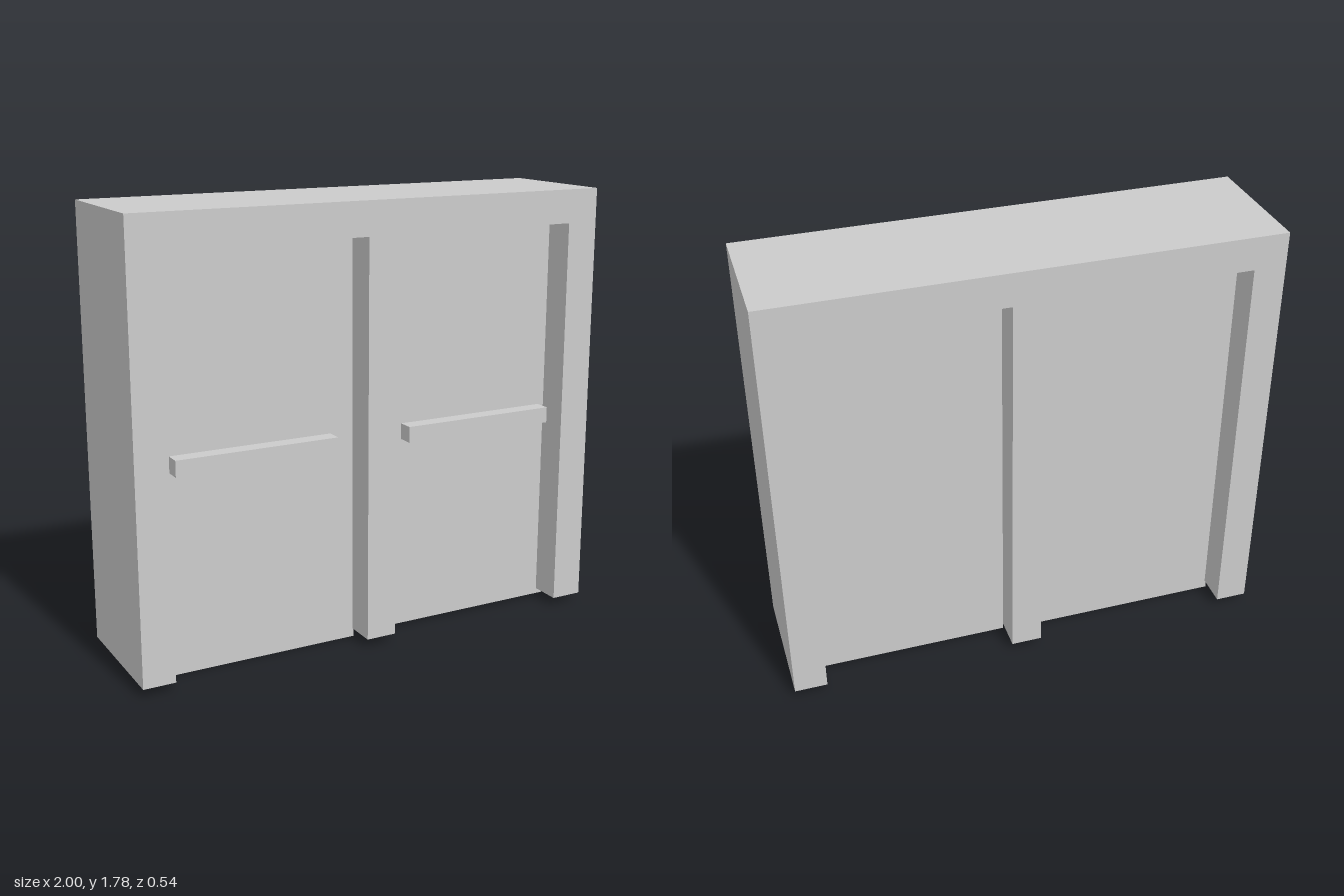
import * as THREE from 'three';

const material = new THREE.MeshStandardMaterial({ color: 0xcccccc, flatShading: true });

// Box given by its min and max corners
function box(name, [x0, y0, z0], [x1, y1, z1]) {
  const mesh = new THREE.Mesh(new THREE.BoxGeometry(x1 - x0, y1 - y0, z1 - z0), material);
  mesh.position.set((x0 + x1) / 2, (y0 + y1) / 2, (z0 + z1) / 2);
  mesh.name = name;
  return mesh;
}

export function createModel() {
  const model = new THREE.Group();
  model.name = 'doubleDoor';

  const halfDepth = 0.27, bottom = 0.035, top = 1.785, lintel = 1.65;

  // Frame: one outline with two door openings, running down to its foot
  const outline = new THREE.Shape([
    [-1, bottom], [-0.87, bottom], [-0.87, lintel], [-0.052, lintel],
    [-0.052, bottom], [0.075, bottom], [0.075, lintel], [0.867, lintel],
    [0.867, bottom], [1, bottom], [1, top], [-1, top],
  ].map(([x, y]) => new THREE.Vector2(x, y)));
  const frameGeometry = new THREE.ExtrudeGeometry(outline, { depth: 2 * halfDepth, bevelEnabled: false });
  frameGeometry.translate(0, 0, -halfDepth);
  const frame = new THREE.Mesh(frameGeometry, material);
  frame.name = 'frame';
  model.add(frame);

  // Door leaves, each with a push bar on its front
  const leaves = [
    { side: 'right', x: [-0.877, -0.047], foot: 0, bar: [-0.82, -0.15] },
    { side: 'left', x: [0.075, 0.895], foot: 0.012, bar: [0.17, 0.84] },
  ];
  for (const { side, x, foot, bar } of leaves) {
    model.add(
      box(side + 'Door', [x[0], foot, -0.137], [x[1], lintel + 0.02, 0.14]),
      box(side + 'PushBar', [bar[0], 0.81, 0.13], [bar[1], 0.875, 0.205]),
    );
  }
  return model;
}
